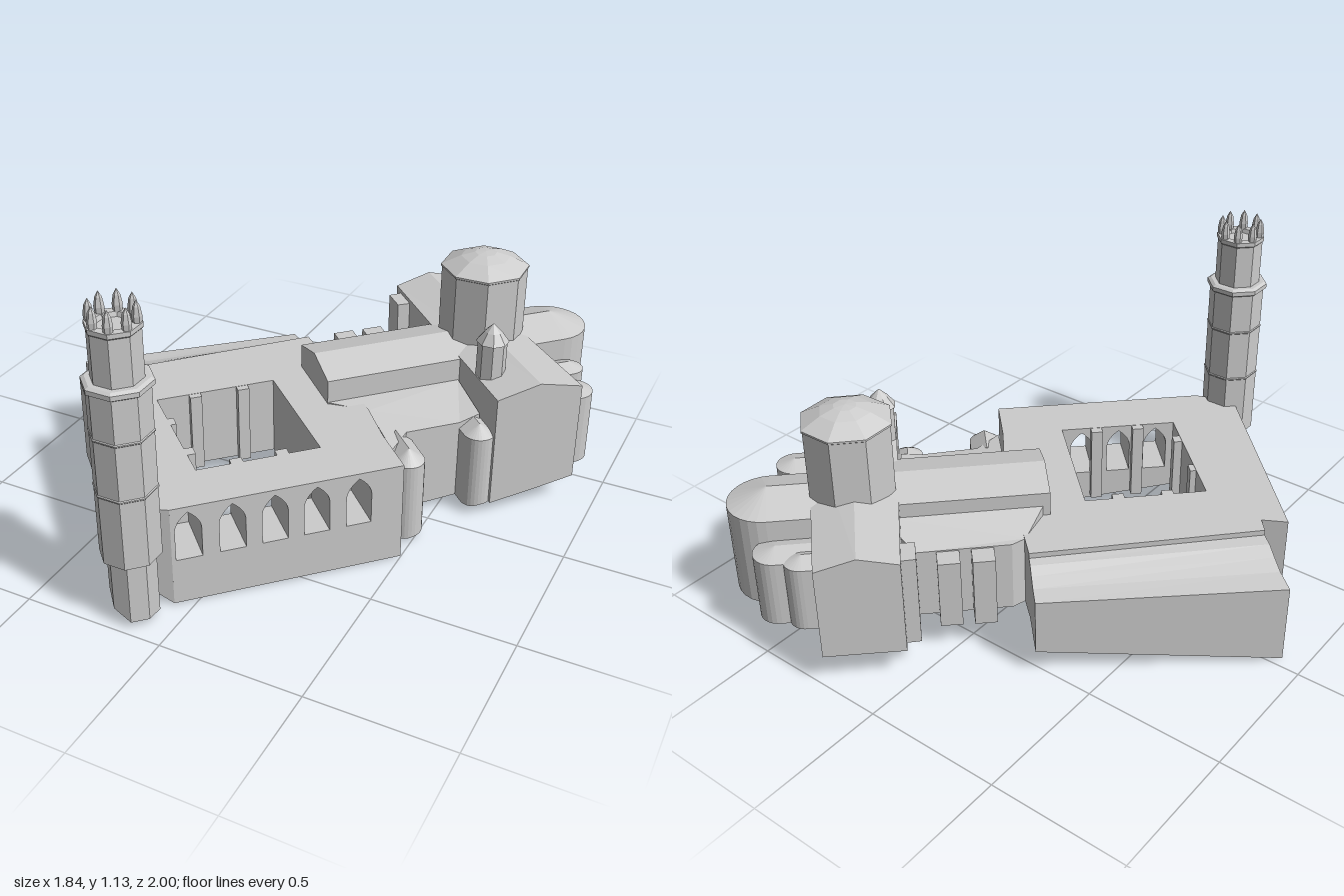
import * as THREE from 'three';

const stone = new THREE.MeshStandardMaterial({ color: 0xcccccc });
stone.name = 'grey stone';

// Sloping site: [x, z, y] spot heights blended by distance
const spots = [
  [-0.92, 0.04, 0.01], [-0.74, 0.18, 0.02], [-0.77, 0.27, 0.06], [-0.2, 0.87, 0.11], [-0.08, 0.95, 0.03],
  [-0.05, 0.8, 0.01], [0.2, 0.55, 0.005], [0.5, 0.25, 0.01], [0.48, 0.1, 0.03], [0.6, -0.1, 0.04], [0.68, -0.12, 0.05],
  [0.915, -0.355, 0.1], [0.8, -0.8, 0.12], [0.2, -1, 0.13], [0.03, -0.8, 0.12], [-0.3, -0.53, 0.1],
  [-0.18, -0.41, 0.11], [0, -0.5, 0.11], [0.2, -0.3, 0.08], [-0.14, -0.05, 0.08], [0.2, 0.28, 0.03],
  [-0.09, 0.59, 0.07], [-0.195, 0.675, 0.11], [-0.45, 0.26, 0.085],
];
function ground(x, z) {
  let sum = 0, total = 0;
  for (const [sx, sz, sy] of spots) {
    const w = 1 / ((x - sx) ** 2 + (z - sz) ** 2 + 1e-4) ** 2;
    sum += w * sy;
    total += w;
  }
  return sum / total;
}

function add(parent, name, geometry) {
  const geo = geometry.index ? geometry.toNonIndexed() : geometry;
  geo.computeVertexNormals();
  const mesh = new THREE.Mesh(geo, stone);
  mesh.name = name;
  parent.add(mesh);
}

// Walls on a plan of [x, z, topY] points, reaching down to the site
function prism(plan) {
  const area = THREE.ShapeUtils.area(plan.map(p => new THREE.Vector2(p[0], p[1])));
  const pts = area > 0 ? [...plan].reverse() : plan;
  const flat = pts.map(p => new THREE.Vector2(p[0], p[1]));
  const top = pts.map(p => [p[0], p[2], p[1]]);
  const bottom = pts.map(p => [p[0], ground(p[0], p[1]), p[1]]);
  const out = [];
  for (const f of THREE.ShapeUtils.triangulateShape(flat, [])) {
    let [a, b, c] = f;
    const cross = (flat[b].x - flat[a].x) * (flat[c].y - flat[a].y) - (flat[b].y - flat[a].y) * (flat[c].x - flat[a].x);
    if (cross > 0) [b, c] = [c, b];
    out.push(...top[a], ...top[b], ...top[c], ...bottom[a], ...bottom[c], ...bottom[b]);
  }
  pts.forEach((_, i) => {
    const j = (i + 1) % pts.length;
    out.push(...bottom[i], ...bottom[j], ...top[j], ...bottom[i], ...top[j], ...top[i]);
  });
  const geo = new THREE.BufferGeometry();
  geo.setAttribute('position', new THREE.Float32BufferAttribute(out, 3));
  return geo;
}
const level = (plan, y) => plan.map(([x, z]) => [x, z, y]);

// Pitched block: a-b and d-c are the gable ends, the ridge joins their middles
function gabled(parent, name, [a, b, c, d], eave, ridge) {
  const mid = (p, q) => [(p[0] + q[0]) / 2, (p[1] + q[1]) / 2, ridge];
  const m = mid(a, b), n = mid(d, c);
  add(parent, name, prism([[...a, eave], m, n, [...d, eave]]));
  add(parent, name, prism([m, [...b, eave], [...c, eave], n]));
}

// Half-round chapel facing a heading, with a pitched body running back into the wall
function apse(parent, name, x, z, r, back, heading, eave, peak) {
  const steps = 14, ring = [];
  for (let i = 0; i <= steps; i++) {
    const t = heading - Math.PI / 2 + i / steps * Math.PI;
    ring.push([x + r * Math.sin(t), z + r * Math.cos(t), eave]);
  }
  add(parent, name, prism(ring));
  const cone = new THREE.ConeGeometry(r, peak - eave, steps, 1, true, heading - Math.PI / 2, Math.PI);
  add(parent, name + 'Roof', cone.translate(x, (peak + eave) / 2, z));
  const dx = -back * Math.sin(heading), dz = -back * Math.cos(heading);
  const a = ring[0].slice(0, 2), b = ring[steps].slice(0, 2);
  gabled(parent, name + 'Body', [a, b, [b[0] + dx, b[1] + dz], [a[0] + dx, a[1] + dz]], eave, peak);
}

// Eight-sided solid from [radius, y] points
function octagon(parent, name, profile, x, z, turn) {
  const geo = new THREE.LatheGeometry(profile.map(p => new THREE.Vector2(...p)), 8);
  add(parent, name, geo.rotateY(turn).translate(x, 0, z));
}

function buildCloister() {
  const g = new THREE.Group();
  g.name = 'cloister';
  // Three ranges around the open court
  add(g, 'cloisterRanges', prism(level([
    [-0.775, 0.27], [-0.2, 0.86], [-0.06, 0.81], [-0.195, 0.675], [-0.1, 0.58], [-0.45, 0.26], [-0.145, -0.05],
    [0.205, 0.275], [0.365, 0.115], [0.25, -0.02], [0.1, -0.16], [-0.18, -0.41], [-0.735, 0.18], [-0.695, 0.225],
  ], 0.38)));

  // Front range pierced by five pointed arches, its foot following the site
  const len = 0.792;
  const foot = [0, 0.05, 0.12, 0.25, 0.4, 0.55, 0.7, len].map(s => new THREE.Vector2(s, 0));
  const wall = new THREE.Shape([...foot, new THREE.Vector2(len, 0.38), new THREE.Vector2(0, 0.38)]);
  for (const s of [0.058, 0.204, 0.347, 0.49, 0.636]) {
    const w = 0.044, arch = new THREE.Path();
    arch.moveTo(s - w, 0.18);
    arch.lineTo(s + w, 0.18);
    arch.lineTo(s + w, 0.295);
    arch.quadraticCurveTo(s + w * 0.9, 0.33, s, 0.36);
    arch.quadraticCurveTo(s - w * 0.9, 0.33, s - w, 0.295);
    arch.closePath();
    wall.holes.push(arch);
  }
  const range = new THREE.ExtrudeGeometry(wall, { depth: 0.191, bevelEnabled: false, curveSegments: 5 });
  range.rotateY(Math.PI / 4).translate(-0.195, 0, 0.675);
  const pos = range.attributes.position;
  for (let i = 0; i < pos.count; i++) {
    if (pos.getY(i) < 0.1) pos.setY(i, ground(pos.getX(i), pos.getZ(i)));
  }
  add(g, 'arcadeRange', range);

  // Buttresses inside the court
  for (const [x, z] of [[-0.225, 0.04], [-0.35, 0.165], [-0.335, 0.365], [-0.18, 0.495], [0.105, 0.36], [-0.005, 0.475]]) {
    add(g, 'courtButtress', new THREE.BoxGeometry(0.042, 0.3, 0.042).rotateY(Math.PI / 4).translate(x, 0.229, z));
  }

  // West wing: low outer band, then a curved roof up to the cloister
  const section = [[0, 0.305], [0.36, 0.315], [0.6, 0.335], [0.8, 0.355], [1, 0.36]];
  const at = (p, q, [t, y]) => [p[0] + (q[0] - p[0]) * t, p[1] + (q[1] - p[1]) * t, y];
  for (let i = 0; i < section.length - 1; i++) {
    const strip = [section[i], section[i + 1]];
    const near = strip.map(s => at([-0.92, 0.035], [-0.735, 0.18], s));
    const far = strip.map(s => at([-0.3, -0.53], [-0.18, -0.41], s));
    add(g, 'westWing', prism([near[0], near[1], far[1], far[0]]));
  }
  return g;
}

function buildTower() {
  const g = new THREE.Group();
  g.name = 'bellTower';
  const x = -0.155, z = 0.895, turn = Math.PI / 8;
  const base = [];
  for (let i = 0; i < 8; i++) {
    const t = (i + 0.5) * Math.PI / 4;
    base.push([x + 0.005 + 0.08 * Math.sin(t), z + 0.005 + 0.08 * Math.cos(t), 0.26]);
  }
  add(g, 'towerFoot', prism(base));
  octagon(g, 'towerShaft', [
    [0, 0.25], [0.101, 0.25], [0.101, 0.497], [0.104, 0.5], [0.104, 0.504], [0.101, 0.507], [0.101, 0.697],
    [0.104, 0.7], [0.104, 0.704], [0.101, 0.707], [0.101, 0.855], [0.112, 0.862], [0.112, 0.878], [0.1, 0.885],
    [0.083, 0.885], [0.083, 1.045], [0.088, 1.05], [0.088, 1.065], [0.06, 1.065], [0.055, 1.05], [0, 1.05],
  ], x, z, turn);
  for (let i = 0; i < 8; i++) {
    const t = (i + 0.5) * Math.PI / 4;
    const pin = new THREE.LatheGeometry([[0.013, 1.05], [0.016, 1.085], [0.011, 1.115], [0, 1.135]].map(p => new THREE.Vector2(...p)), 6);
    add(g, 'pinnacle', pin.translate(x + 0.07 * Math.sin(t), 0, z + 0.07 * Math.cos(t)));
  }
  return g;
}

function buildChurch() {
  const g = new THREE.Group();
  g.name = 'church';
  gabled(g, 'nave', [[-0.1, -0.19], [0.105, 0.01], [0.56, -0.45], [0.355, -0.65]], 0.47, 0.51);
  gabled(g, 'transept', [[0.215, -1], [0.025, -0.8], [0.685, -0.125], [0.915, -0.355]], 0.475, 0.512);
  add(g, 'transeptStep', prism(level([[0.07, -0.79], [0.02, -0.735], [0.085, -0.67], [0.14, -0.72]], 0.46)));

  // Side aisles with lean-to roofs
  add(g, 'rightAisle', prism([[0.105, 0.01, 0.385], [0.25, -0.02, 0.375], [0.41, 0.14, 0.35], [0.41, 0.015, 0.35],
    [0.55, -0.135, 0.345], [0.6, -0.2, 0.36], [0.46, -0.35, 0.385]]));
  add(g, 'leftAisle', prism([[-0.115, -0.345, 0.375], [-0.1, -0.4, 0.375], [0.125, -0.63, 0.375], [0.32, -0.6, 0.42], [-0.08, -0.2, 0.42]]));
  for (const [x, z] of [[-0.056, -0.497], [0.028, -0.578]]) {
    const r = 0.054;
    add(g, 'aisleButtress', prism(level([[x - r, z], [x, z - r], [x + r, z], [x, z + r]], 0.37)));
  }

  // Chapels on the far side of the transept
  const rear = Math.PI * 0.75, side = Math.PI * 0.25;
  apse(g, 'mainApse', 0.655, -0.79, 0.141, 0.28, rear, 0.46, 0.51);
  for (const [x, z, r, back] of [[0.505, -0.905, 0.077, 0.14], [0.4, -0.885, 0.062, 0.1], [0.785, -0.645, 0.056, 0.14], [0.85, -0.495, 0.07, 0.1]]) {
    apse(g, 'rearChapel', x, z, r, back, rear, 0.372, 0.395);
  }
  // Chapels along the right aisle
  apse(g, 'aisleChapel', 0.462, 0.118, 0.057, 0.12, side, 0.315, 0.36);
  apse(g, 'transeptChapel', 0.62, -0.145, 0.057, 0.08, side, 0.32, 0.355);

  // Crossing dome and stair turret
  octagon(g, 'crossingDome', [[0.157, 0.4], [0.157, 0.742], [0.161, 0.745], [0.161, 0.752], [0.09, 0.787], [0.04, 0.802], [0, 0.805]],
    0.457, -0.58, Math.PI * 24 / 180);
  octagon(g, 'stairTurret', [[0.052, 0.35], [0.052, 0.61], [0.058, 0.612], [0.03, 0.65], [0, 0.68]], 0.6, -0.285, Math.PI / 8);
  return g;
}

export function createModel() {
  const model = new THREE.Group();
  model.name = 'monastery';
  model.add(buildCloister(), buildTower(), buildChurch());
  return model;
}
